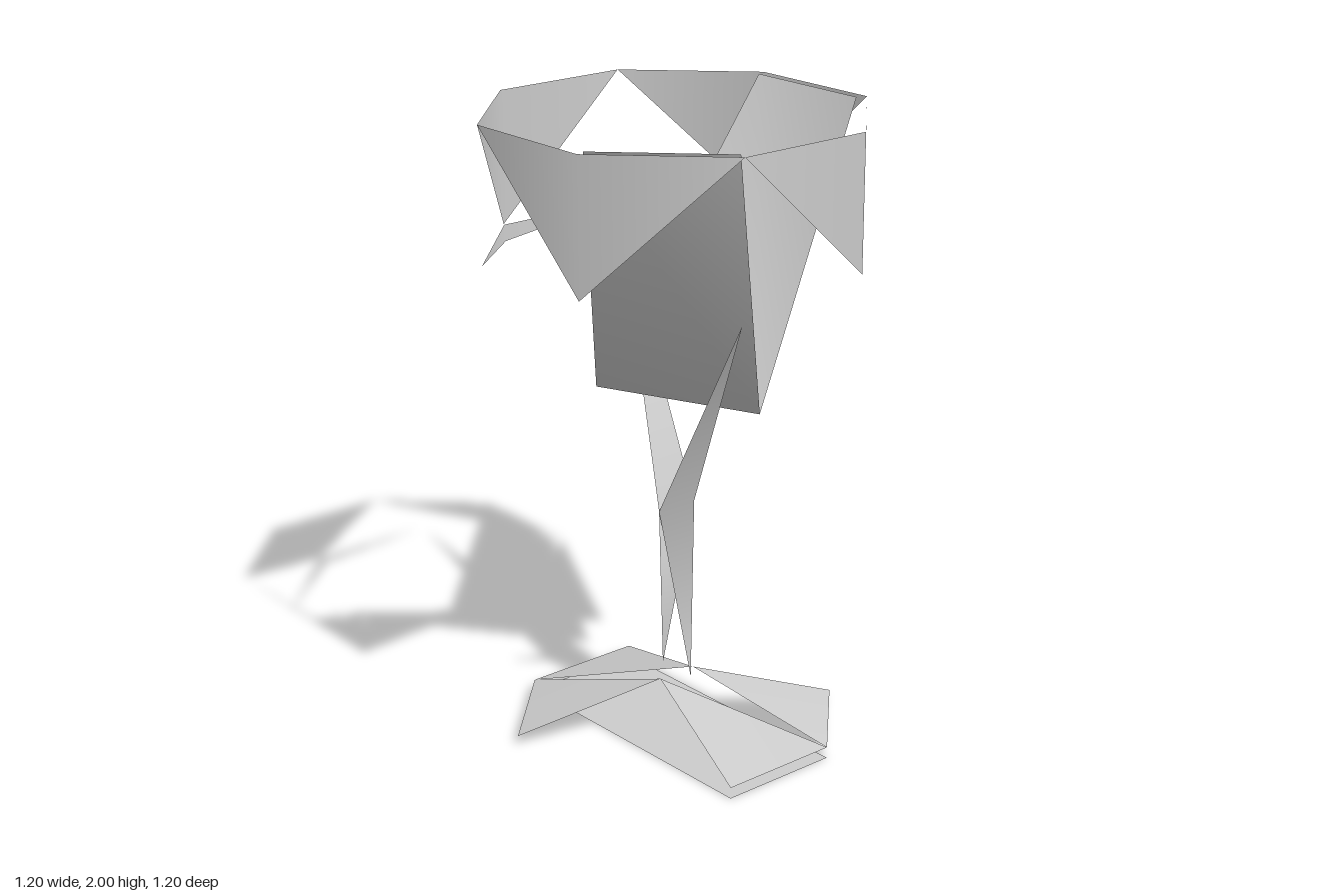
import * as THREE from 'three';

const material = new THREE.MeshStandardMaterial({ color: 0xcccccc, side: THREE.DoubleSide });

// Thin sheet from a few corners and triangles that share them (smooth normals)
function sheet(name, corners, faces) {
  const geometry = new THREE.BufferGeometry();
  geometry.setAttribute('position', new THREE.Float32BufferAttribute(corners.flat(), 3));
  geometry.setIndex(faces.flat());
  geometry.computeVertexNormals();
  const mesh = new THREE.Mesh(geometry, material);
  mesh.name = name;
  return mesh;
}

// Point on a ring, angle in degrees from +x towards +z
function ring(radius, y, degrees) {
  const a = THREE.MathUtils.degToRad(degrees);
  return [radius * Math.cos(a), y, radius * Math.sin(a)];
}

export function createModel() {
  const model = new THREE.Group();
  model.name = 'facetedGoblet';

  // Four pointed panels hanging from the octagonal rim
  for (let i = 0; i < 4; i++) {
    const a = i * 90;
    model.add(sheet('rimPanel',
      [ring(0.6, 2, a), ring(0.6, 2, a + 45), ring(0.6, 2, a + 90), ring(0.6, 1.58, a + 45)],
      [[0, 1, 3], [1, 2, 3]]));
  }

  // Thin crescent band under the rim at the back
  model.add(sheet('crescentBand',
    [ring(0.598, 1.578, 180), ring(0.598, 1.578, 225), ring(0.598, 1.578, 270), ring(0.594, 1.526, 225)],
    [[0, 1, 3], [1, 2, 3]]));

  // Two bowl walls, each bulging outwards, folding down to a shared bottom edge
  model.add(sheet('bowl',
    [ring(0.566, 2, 135), ring(0.566, 2, 90), ring(0.566, 2, 0), ring(0.566, 2, -45),
      ring(0.28, 1.099, 45), ring(0.28, 1.099, 225)],
    [[0, 5, 4], [0, 4, 1], [3, 4, 5], [3, 2, 4]]));

  // Stem blades and foot facets, repeated half a turn apart
  for (let i = 0; i < 2; i++) {
    const half = new THREE.Group();
    half.name = i ? 'backHalf' : 'frontHalf';
    half.rotation.y = i * Math.PI;

    half.add(sheet('stemBlade',
      [[0, 1.518, 0.59], [-0.066, 0.75, 0.027], [0.066, 0.75, -0.027], [0.026, 0.19, 0.063]],
      [[0, 1, 2], [3, 2, 1]]));

    // Two facets meeting at one outer corner, each rising to its own side of the stem
    half.add(sheet('footFacets',
      [ring(0.525, 0.036, 45), ring(0.525, 0.036, 90), [-0.063, 0.178, 0.026],
        ring(0.525, 0.036, 0), [0.063, 0.178, -0.026]],
      [[0, 2, 1], [0, 3, 4]]));
    model.add(half);
  }

  // Flat sheet on the ground under the foot
  model.add(sheet('footPlate',
    [ring(0.525, 0, 45), ring(0.525, 0, 270), ring(0.525, 0, 225), ring(0.525, 0, 90)],
    [[0, 1, 2], [0, 2, 3]]));

  return model;
}
